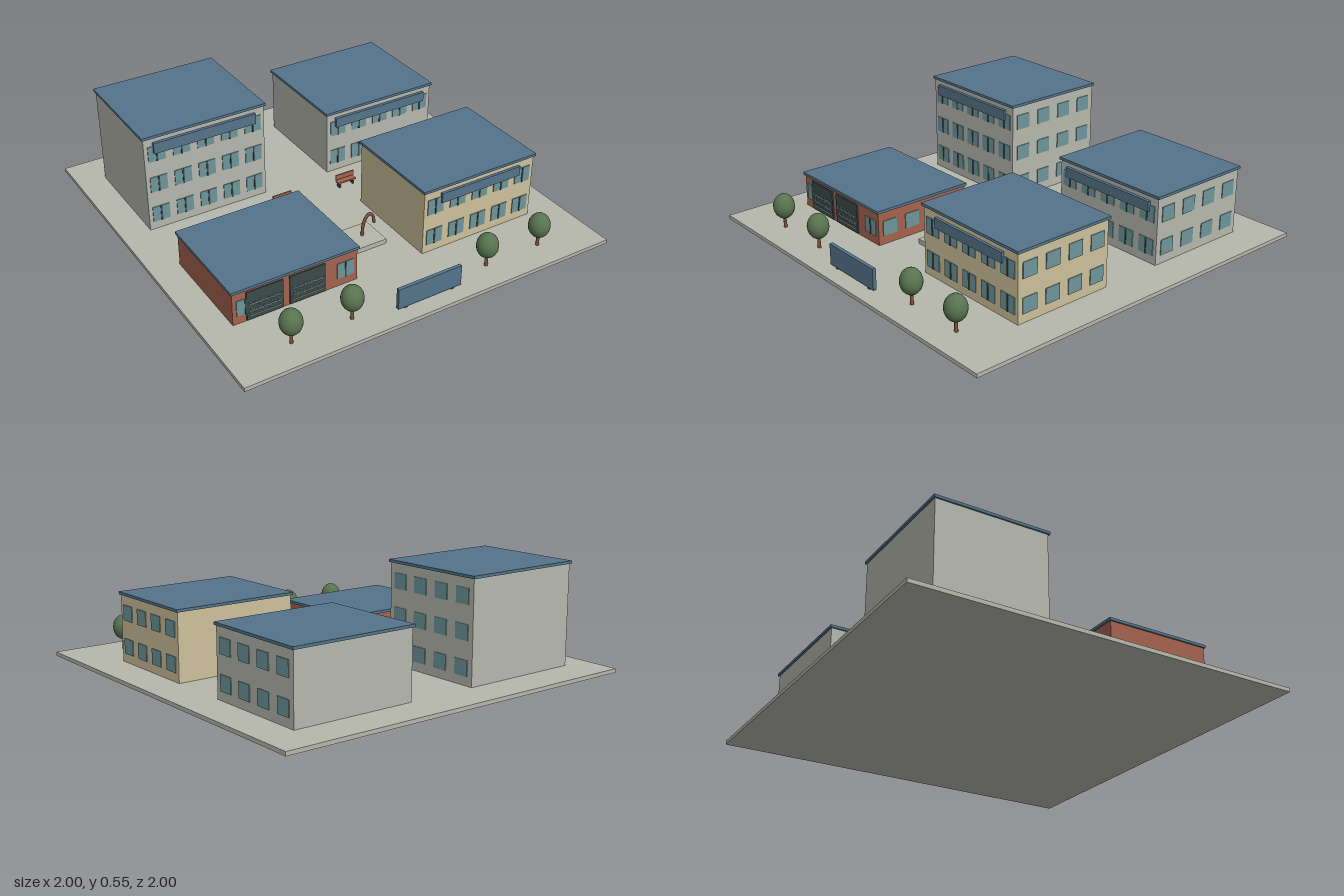
import * as THREE from 'three';

const mat = (name, color, extra = {}) => {
  const m = new THREE.MeshStandardMaterial({ color, ...extra });
  m.name = name;
  return m;
};

export function createModel() {
  const M = {
    paving: mat('paving', 0xb6b8ac),
    roof: mat('slateBlue', 0x54738a),
    grey: mat('greyWall', 0xb6b7ac),
    tan: mat('tanWall', 0xcdc19a),
    brick: mat('brick', 0xa4624c),
    glass: mat('glass', 0x6e969c),
    dark: mat('darkFrame', 0x3a4a49),
    leaf: mat('leaf', 0x58744f),
    wood: mat('wood', 0x80503a),
  };
  const root = new THREE.Group();
  root.name = 'townSquare';

  const add = (parent, name, geo, material, x, y, z) => {
    const mesh = new THREE.Mesh(geo, material);
    mesh.name = name;
    mesh.position.set(x, y, z);
    parent.add(mesh);
    return mesh;
  };
  // Box given by its limits on each axis
  const box = (parent, name, material, x0, x1, y0, y1, z0, z1) =>
    add(parent, name, new THREE.BoxGeometry(x1 - x0, y1 - y0, z1 - z0), material,
      (x0 + x1) / 2, (y0 + y1) / 2, (z0 + z1) / 2);

  box(root, 'ground', M.paving, -1, 1, 0, 0.02, -1, 1);

  // Building: wall block, flat roof, windows on the front and the +x side
  function building(name, wall, x0, x1, z0, z1, top, floors, frontColumns) {
    const g = new THREE.Group();
    g.name = name;
    root.add(g);
    const e = 0.008;
    const wx0 = x0 + e, wx1 = x1 - e, wz0 = z0 + e, wz1 = z1 - e;
    box(g, 'walls', wall, wx0, wx1, 0.02, top - 0.014, wz0, wz1);
    box(g, 'roof', M.roof, x0, x1, top - 0.014, top, z0, z1);
    const dx = (wx1 - wx0) / 5, dz = (wz1 - wz0) / 4;
    for (let f = 0; f < floors; f++) {
      const y = 0.063 + f * 0.17;
      for (const i of frontColumns) {
        const x = wx0 + dx * (i + 0.5);
        box(g, 'frontWindow', M.glass, x - 0.045, x + 0.045, y, y + 0.083, wz1, wz1 + 0.004);
        box(g, 'frontMullion', M.dark, x - 0.004, x + 0.004, y, y + 0.083, wz1 + 0.004, wz1 + 0.007);
      }
      for (let i = 0; i < 4; i++) {
        const z = wz0 + dz * (i + 0.5);
        box(g, 'sideWindow', M.glass, wx1, wx1 + 0.004, y + 0.002, y + 0.08, z - 0.041, z + 0.041);
      }
    }
    return g;
  }
  const all = [0, 1, 2, 3, 4];
  const tall = building('tallBuilding', M.grey, -0.86, -0.195, -0.815, -0.23, 0.545, 3, all);
  const office = building('greyBuilding', M.grey, 0.16, 0.825, -0.815, -0.23, 0.375, 2, all);
  const hall = building('tanBuilding', M.tan, 0.16, 0.825, 0.08, 0.63, 0.375, 2, all);
  const shop = building('brickShop', M.brick, -0.86, -0.195, 0.08, 0.63, 0.205, 1, [0, 4]);

  // Fascia boards above the top windows
  box(tall, 'fascia', M.roof, -0.805, -0.255, 0.45, 0.507, -0.238, -0.222);
  box(office, 'fascia', M.roof, 0.215, 0.768, 0.285, 0.337, -0.238, -0.222);
  box(hall, 'fascia', M.roof, 0.262, 0.726, 0.285, 0.337, 0.622, 0.636);

  // Shop fronts with crossed light glazing bars
  for (const x of [-0.69, -0.47]) {
    box(shop, 'shopWindow', M.dark, x - 0.093, x + 0.093, 0.025, 0.178, 0.622, 0.629);
    for (const y of [0.045, 0.072, 0.108]) {
      box(shop, 'glazingRail', M.grey, x - 0.08, x + 0.08, y - 0.002, y + 0.002, 0.629, 0.634);
    }
    for (let i = -2; i <= 2; i++) {
      for (const s of [-1, 1]) {
        const bar = box(shop, 'latticeBar', M.glass, -0.002, 0.002, -0.035, 0.035, 0, 0.004);
        bar.position.set(x + i * 0.034, 0.09, 0.632);
        bar.rotation.z = s * 0.5;
      }
    }
  }

  // Free-standing board by the street
  const board = new THREE.Group();
  board.name = 'streetBoard';
  root.add(board);
  box(board, 'panel', M.roof, -0.175, 0.173, 0.03, 0.137, 0.902, 0.92);
  for (const x of [-0.13, 0.13]) box(board, 'foot', M.dark, x - 0.008, x + 0.008, 0.02, 0.03, 0.906, 0.916);

  // Street trees
  for (const x of [-0.69, -0.378, 0.372, 0.685]) {
    const tree = new THREE.Group();
    tree.name = 'tree';
    tree.position.set(x, 0, 0.853);
    root.add(tree);
    add(tree, 'trunk', new THREE.CylinderGeometry(0.007, 0.009, 0.07, 10), M.wood, 0, 0.055, 0);
    add(tree, 'crown', new THREE.SphereGeometry(0.054, 20, 14), M.leaf, 0, 0.135, 0).scale.y = 1.2;
  }

  // Two benches in the rear walkway
  for (const x of [-0.188, 0.185]) {
    const bench = new THREE.Group();
    bench.name = 'bench';
    root.add(bench);
    box(bench, 'seat', M.brick, x - 0.053, x + 0.053, 0.047, 0.055, -0.098, -0.067);
    box(bench, 'backrest', M.brick, x - 0.053, x + 0.053, 0.06, 0.087, -0.098, -0.091);
    for (const s of [-0.04, 0.04]) {
      box(bench, 'leg', M.dark, x + s - 0.004, x + s + 0.004, 0.02, 0.047, -0.094, -0.072);
      box(bench, 'backPost', M.dark, x + s - 0.004, x + s + 0.004, 0.047, 0.08, -0.1, -0.097);
    }
  }

  // Arch sculpture on a low plinth
  const sculpture = new THREE.Group();
  sculpture.name = 'sculpture';
  root.add(sculpture);
  box(sculpture, 'plinth', M.paving, -0.1, 0.072, 0.02, 0.045, 0.287, 0.46);
  const arch = new THREE.CatmullRomCurve3([
    [-0.01, 0.045], [-0.006, 0.1], [0.008, 0.138], [0.03, 0.156], [0.05, 0.138], [0.057, 0.1],
  ].map(([x, y]) => new THREE.Vector3(x, y, 0.372)));
  add(sculpture, 'arch', new THREE.TubeGeometry(arch, 24, 0.008, 8), M.wood, 0, 0, 0);
  add(sculpture, 'archTip', new THREE.SphereGeometry(0.008, 8, 6), M.wood, 0.057, 0.1, 0.372);

  return root;
}
